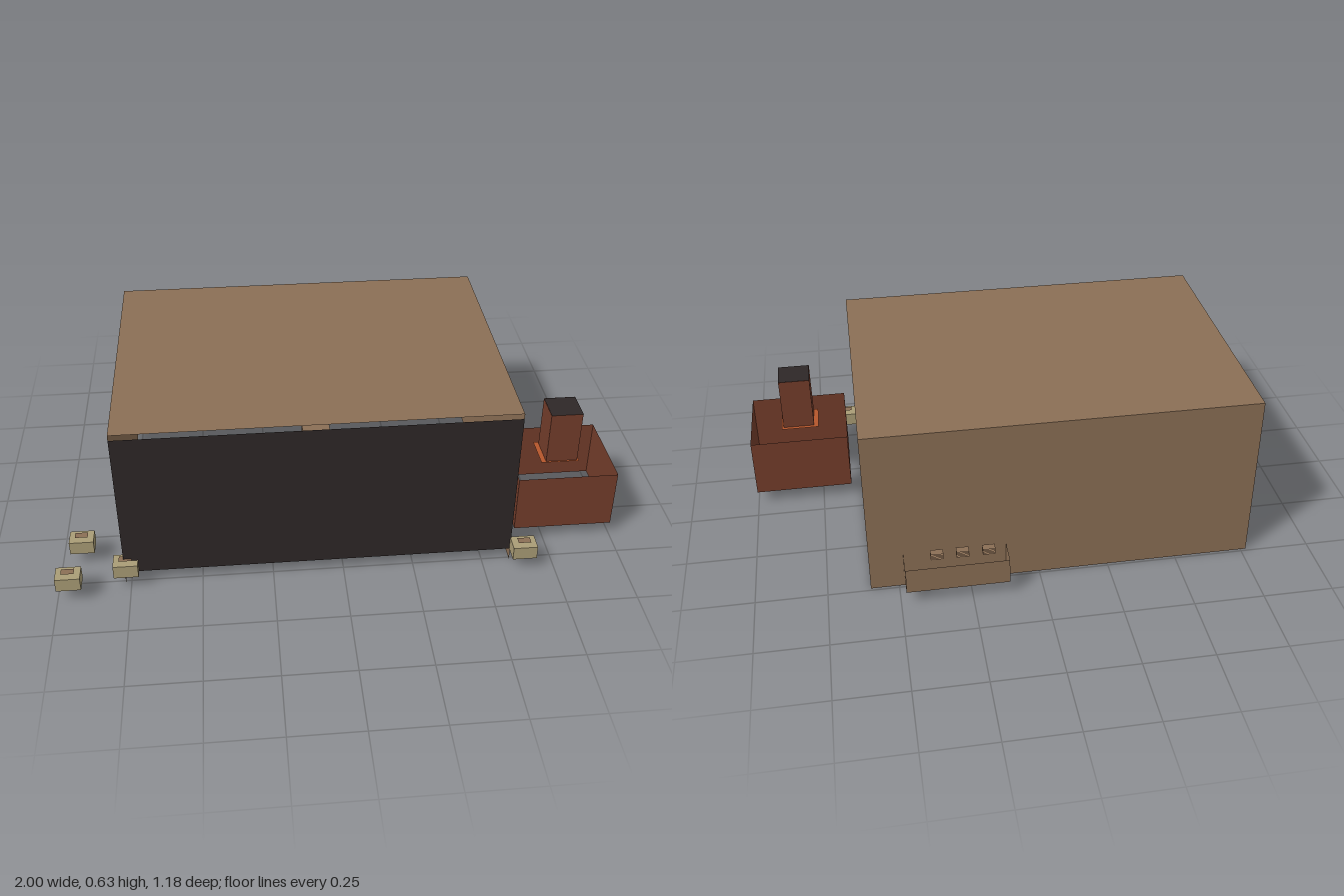
import * as THREE from 'three';

const mat = (name, color) => {
  const m = new THREE.MeshStandardMaterial({ color, side: THREE.DoubleSide });
  m.name = name;
  return m;
};

export function createModel() {
  const model = new THREE.Group();
  const brown = mat('woodBrown', 0x8b6f55);
  const dark = mat('charcoal', 0x2e2727);
  const brick = mat('brickRed', 0x743d2b);
  const cream = mat('cream', 0xaa9d76);
  const orange = mat('emberOrange', 0xb5562c);

  // Open box from chosen faces: r(+x) l(-x) t(+y) b(-y) f(+z) k(-z); ranges are [min, max]
  function shell(name, material, x, y, z, faces = 'rltfk') {
    const g = new THREE.BoxGeometry(x[1] - x[0], y[1] - y[0], z[1] - z[0]);
    const index = Array.from(g.index.array);
    const kept = [];
    [...'rltbfk'].forEach((f, i) => {
      if (faces.includes(f)) kept.push(...index.slice(i * 6, i * 6 + 6));
    });
    g.setIndex(kept);
    g.clearGroups();
    g.translate((x[0] + x[1]) / 2, (y[0] + y[1]) / 2, (z[0] + z[1]) / 2);
    const mesh = new THREE.Mesh(g, material);
    mesh.name = name;
    model.add(mesh);
  }

  // Flat horizontal plate
  function plate(name, material, cx, y, cz, w, d) {
    const g = new THREE.PlaneGeometry(w, d).rotateX(-Math.PI / 2).translate(cx, y, cz);
    const mesh = new THREE.Mesh(g, material);
    mesh.name = name;
    model.add(mesh);
  }

  const around = (c, s) => [c - s / 2, c + s / 2];

  // Hall: walls and roof, open below, with a front panel leaving gaps above and below
  shell('hall', brown, [-0.77, 0.6], [0, 0.63], [-0.49, 0.51], 'rltk');
  shell('frontPanel', dark, [-0.77, 0.6], [0.05, 0.61], [0.49, 0.51], 'f');

  // Furnace: open base, glowing ledge, stack with a dark cap
  shell('furnaceBase', brick, [0.64, 1], [0.05, 0.27], [0.08, 0.4], 'rlfk');
  plate('emberLedge', orange, 0.815, 0.268, 0.236, 0.14, 0.13);
  shell('chimneyStack', brick, [0.762, 0.877], [0.27, 0.47], [0.182, 0.297], 'rlfk');
  plate('chimneyCap', dark, 0.82, 0.47, 0.24, 0.115, 0.115);

  // Rear bin with three piles of thin sheets
  shell('rearBin', brown, [0.12, 0.48], [0.05, 0.147], [-0.59, -0.49], 'rlfk');
  for (const x of [0.187, 0.278, 0.367]) {
    for (let i = 0; i < 5; i++) plate('rearSheet', brown, x, 0.152 + i * 0.0055, -0.54, 0.044, 0.027);
  }

  // Cream crates outside, each with a brown lid
  for (const [x, z] of [[-0.925, 0.365], [-0.957, 0.557], [-0.763, 0.508], [0.64, 0.538]]) {
    shell('crate', cream, around(x, 0.086), [0.05, 0.1], around(z, 0.065));
    plate('crateLid', brown, x, 0.108, z, 0.045, 0.027);
  }

  // Rows of small trays inside the hall
  const trays = [];
  for (const x of [0.42, 0.28, 0.135, -0.19, -0.34, -0.49]) trays.push([x, -0.39, 0.07]);
  for (const x of [0.34, 0.18, -0.27, -0.43, -0.58]) trays.push([x, -0.06, 0.07]);
  for (let i = 0; i < 6; i++) trays.push([0.12 - i * 0.113, 0.406, 0.055]);
  for (const [x, z, s] of trays) {
    shell('tray', brown, around(x, s), [0.05, 0.075], around(z, s * 0.8), 'rlfk');
    plate('trayLid', brown, x, 0.08, z, s * 0.5, s * 0.4);
  }

  // Larger box in the middle of the hall
  shell('innerBox', brown, around(-0.04, 0.11), [0.05, 0.13], around(-0.2, 0.1));
  return model;
}
